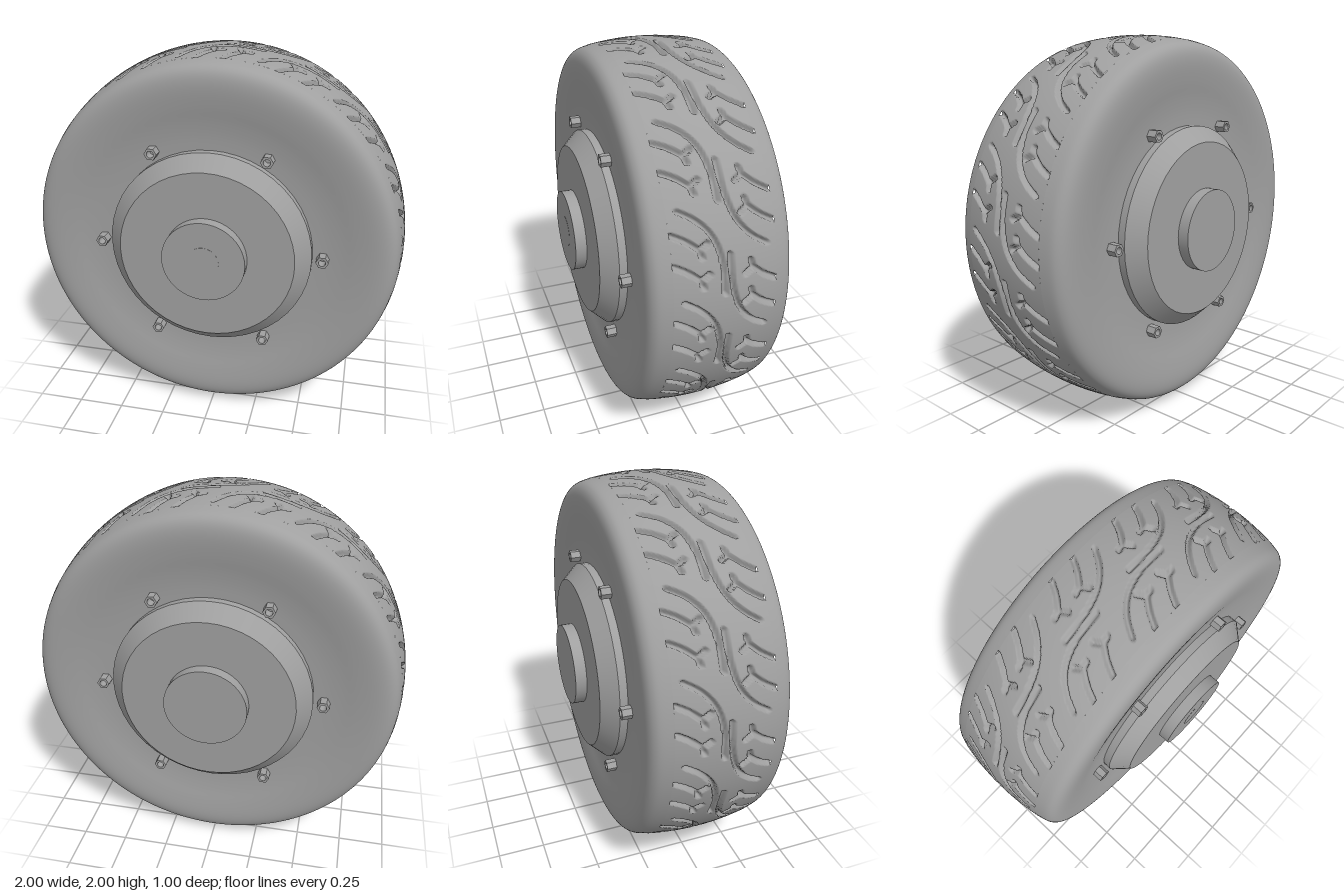
import * as THREE from 'three';

const PITCHES = 15, COLS = 56, ROWS = 60;   // tread repeats, grid cells per repeat, cells across
const PITCH = Math.PI * 2 / PITCHES;
const EDGE = 0.25;                          // half width of the patterned tread
const DEPTH = 0.024;
const crown = z => 1 - 0.35 * z * z;        // tyre radius across the tread

// Grooves of one repeat, as [distance along tread, distance from centre line]
function grooveLines() {
  const curve = pts => new THREE.SplineCurve(pts.map(p => new THREE.Vector2(...p))).getPoints(12);
  const lines = [
    { w: 0.01, pts: curve([[0, 0.015], [0.14, 0.022], [0.26, 0.055], [0.345, 0.12], [0.40, 0.2]]) },
  ];
  for (const a of [0.08, 0.22]) {           // two forked sipes
    lines.push({ w: 0.011, pts: curve([[a, 0.125], [a + 0.045, 0.18], [a + 0.08, 0.24]]) });
    lines.push({ w: 0.011, pts: curve([[a - 0.035, 0.115], [a, 0.125]]) });
    lines.push({ w: 0.011, pts: curve([[a, 0.125], [a + 0.025, 0.085]]) });
  }
  return lines;
}

function segmentDistance(x, y, a, b) {
  const dx = b.x - a.x, dy = b.y - a.y;
  const t = THREE.MathUtils.clamp(((x - a.x) * dx + (y - a.y) * dy) / (dx * dx + dy * dy), 0, 1);
  return Math.hypot(x - a.x - t * dx, y - a.y - t * dy);
}

// How far the tread is cut away at a point
function grooveDepth(lines, s, z) {
  const u0 = z < 0 ? s + 0.39 : -s + PITCH * 0.5;
  const v = Math.abs(z);
  let d = 1;
  for (const k of [-1, 0, 1]) {
    const u = THREE.MathUtils.euclideanModulo(u0, PITCH) + k * PITCH;
    for (const { w, pts } of lines)
      for (let i = 1; i < pts.length; i++)
        d = Math.min(d, segmentDistance(u, v, pts[i - 1], pts[i]) - w);
  }
  return DEPTH * (1 - THREE.MathUtils.clamp((d + 0.004) / 0.007, 0, 1));
}

// Closed band of tread, with the grooves pressed into a fine grid
function treadGeometry() {
  const lines = grooveLines(), total = PITCHES * COLS, stride = ROWS + 1;
  const cut = [];
  for (let i = 0; i < COLS; i++)
    for (let j = 0; j <= ROWS; j++)
      cut.push(grooveDepth(lines, i / COLS * PITCH, (j / ROWS * 2 - 1) * EDGE));
  const pos = [], index = [];
  for (let i = 0; i < total; i++) {
    const s = i / total * Math.PI * 2, next = (i + 1) % total;
    for (let j = 0; j <= ROWS; j++) {
      const z = (j / ROWS * 2 - 1) * EDGE;
      const r = crown(z) - cut[(i % COLS) * stride + j];
      pos.push(r * Math.sin(s), r * Math.cos(s), z);
      if (j < ROWS) {
        const a = i * stride + j, b = next * stride + j;
        index.push(a, a + 1, b, b, a + 1, b + 1);
      }
    }
  }
  const geo = new THREE.BufferGeometry();
  geo.setAttribute('position', new THREE.Float32BufferAttribute(pos, 3));
  geo.setIndex(index);
  geo.computeVertexNormals();
  return geo;
}

// Rounded shoulder and slightly dished sidewall
function sidewallGeometry() {
  const profile = new THREE.SplineCurve([
    [crown(EDGE), EDGE], [0.963, 0.305], [0.945, 0.332], [0.918, 0.348], [0.88, 0.355],
    [0.83, 0.354], [0.76, 0.345], [0.68, 0.331], [0.6, 0.322], [0.5, 0.318],
  ].map(p => new THREE.Vector2(...p))).getPoints(45);
  return new THREE.LatheGeometry(profile, 168).rotateX(Math.PI / 2);
}

// Disc or cone along z, from z0 (radius r0) to z1 (radius r1)
function discGeometry(r0, z0, r1, z1, sides) {
  return new THREE.CylinderGeometry(r1, r0, z1 - z0, sides)
    .rotateX(Math.PI / 2).translate(0, 0, (z0 + z1) / 2);
}

// Six-sided nut with a round hole
function nutGeometry() {
  const shape = new THREE.Shape();
  for (let i = 0; i < 6; i++) {
    const a = i * Math.PI / 3, x = 0.033 * Math.cos(a), y = 0.033 * Math.sin(a);
    if (i) shape.lineTo(x, y); else shape.moveTo(x, y);
  }
  shape.closePath();
  shape.holes.push(new THREE.Path().absarc(0, 0, 0.018, 0, Math.PI * 2, true));
  return new THREE.ExtrudeGeometry(shape, { depth: 0.06, bevelEnabled: false, curveSegments: 12 });
}

export function createModel() {
  const model = new THREE.Group();
  model.name = 'wheel';
  const grey = new THREE.MeshStandardMaterial({ color: 0xa0a0a0 });
  grey.name = 'grey';

  const add = (parent, name, geometry) => {
    const mesh = new THREE.Mesh(geometry, grey);
    mesh.name = name;
    parent.add(mesh);
    return mesh;
  };

  const wheel = new THREE.Group();
  wheel.name = 'wheelBody';
  wheel.position.y = 1;
  model.add(wheel);
  add(wheel, 'tread', treadGeometry());

  // Both faces of the wheel share the same parts
  const sidewall = sidewallGeometry(), nut = nutGeometry();
  for (const name of ['frontSide', 'backSide']) {
    const side = new THREE.Group();
    side.name = name;
    if (name === 'backSide') side.rotation.y = Math.PI;
    wheel.add(side);
    add(side, 'sidewall', sidewall);
    add(side, 'hubBase', discGeometry(0.537, 0.28, 0.537, 0.36, 48));
    add(side, 'hubCone', discGeometry(0.537, 0.36, 0.46, 0.44, 48));
    add(side, 'axleBoss', discGeometry(0.218, 0.43, 0.218, 0.5, 48));
    for (let i = 0; i < 6; i++) {
      const a = i * Math.PI / 3;
      add(side, 'nut', nut).position.set(0.59 * Math.cos(a), 0.59 * Math.sin(a), 0.315);
    }
  }

  // Shaft end, on the front only
  add(wheel, 'shaftEnd', discGeometry(0.083, 0.49, 0.083, 0.501, 32));
  return model;
}
